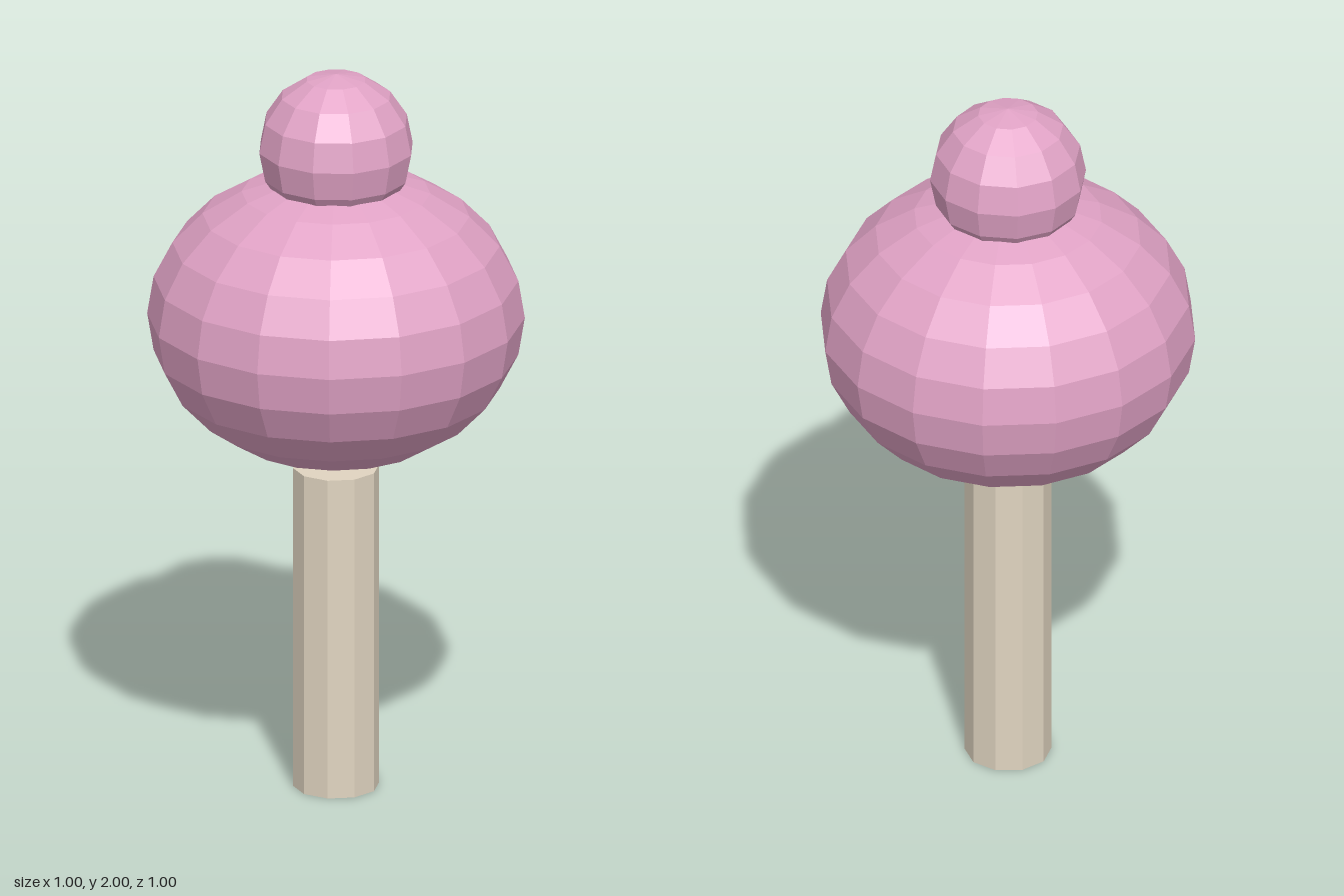
import * as THREE from 'three';

export function createModel() {
  const tree = new THREE.Group();
  tree.name = 'tree';

  const foliage = new THREE.MeshStandardMaterial({ color: 0xe0a2c5, flatShading: true });
  foliage.name = 'pink foliage';
  const bark = new THREE.MeshStandardMaterial({ color: 0xe0d4c0, flatShading: true });
  bark.name = 'pale bark';

  const add = (name, geometry, material, y) => {
    const mesh = new THREE.Mesh(geometry, material);
    mesh.name = name;
    mesh.position.y = y;
    tree.add(mesh);
    return mesh;
  };

  // Ten-sided trunk, ending just below the crown
  add('trunk', new THREE.CylinderGeometry(0.115, 0.115, 0.895, 10), bark, 0.4475);

  // Squashed main crown
  add('crown', new THREE.SphereGeometry(0.5, 16, 12).scale(1, 0.8, 1), foliage, 1.32);

  // Small round top, sunk into the crown
  add('topTuft', new THREE.SphereGeometry(0.208, 12, 8), foliage, 1.792);

  return tree;
}
